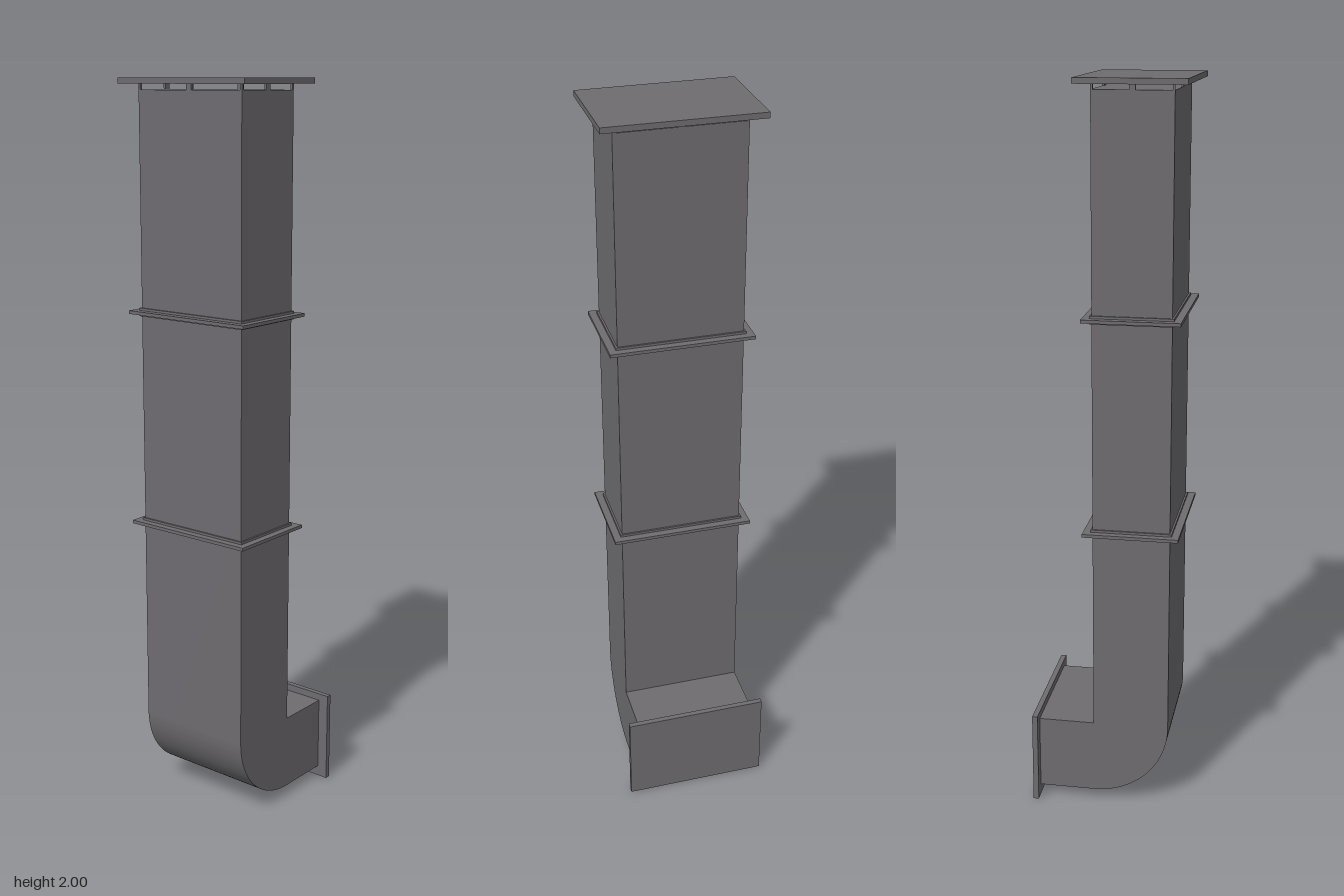
import * as THREE from 'three';
import { toCreasedNormals } from 'three/addons/utils/BufferGeometryUtils.js';

export function createModel() {
  const model = new THREE.Group();
  model.name = 'ventDuct';
  const metal = new THREE.MeshStandardMaterial({ color: 0x6e6c70 });
  metal.name = 'grey sheet metal';

  const add = (name, geometry, x = 0, y = 0, z = 0, parent = model) => {
    const mesh = new THREE.Mesh(geometry, metal);
    mesh.name = name;
    mesh.position.set(x, y, z);
    parent.add(mesh);
    return mesh;
  };
  const box = (w, h, d) => new THREE.BoxGeometry(w, h, d);

  const halfWidth = 0.17, front = 0.17, back = -0.04, radius = 0.21;
  const midZ = (front + back) / 2;

  // Duct: side profile (z, y) with a rounded outer elbow, extruded across x
  const profile = new THREE.Shape();
  profile.moveTo(back, 1.97);
  profile.lineTo(front, 1.97);
  profile.lineTo(front, 0.24);
  profile.absarc(back, 0.24, radius, 0, -Math.PI / 2, true);
  profile.lineTo(-0.2, 0.03);
  profile.lineTo(-0.2, 0.24);
  profile.lineTo(back, 0.24);
  profile.closePath();
  const duct = new THREE.ExtrudeGeometry(profile, {
    depth: halfWidth * 2, bevelEnabled: false, curveSegments: 24,
  });
  duct.rotateY(-Math.PI / 2);
  duct.translate(halfWidth, 0, 0);
  add('duct', toCreasedNormals(duct, 0.5));

  // Joint flanges: a thin plate around a short collar
  [0.81, 1.395].forEach((y, i) => {
    const joint = new THREE.Group();
    joint.name = i ? 'upperJoint' : 'lowerJoint';
    joint.position.set(0, y, midZ);
    model.add(joint);
    add('flangePlate', box(0.39, 0.009, 0.26), 0, 0, 0, joint);
    add('flangeCollar', box(0.35, 0.022, 0.22), 0, 0, 0, joint);
  });

  // Wall plate closing the horizontal outlet
  add('wallPlate', box(0.4, 0.26, 0.015), 0, 0.13, -0.2025);

  // Rain cap held above the open gap by small posts
  add('rainCap', box(0.416, 0.015, 0.286), 0, 1.9925, midZ - 0.001);
  const posts = new THREE.Group();
  posts.name = 'capPosts';
  model.add(posts);
  for (const sx of [-1, 0, 1]) {
    for (const sz of [-1, 0, 1]) {
      if (sx === 0 && sz === 0) continue;
      const w = sx === 0 ? 0.016 : 0.006;
      const d = sz === 0 ? 0.016 : 0.006;
      add('capPost', box(w, 0.017, d),
        sx * (halfWidth - 0.003), 1.9775, midZ + sz * (radius / 2 - 0.003), posts);
    }
  }
  return model;
}
